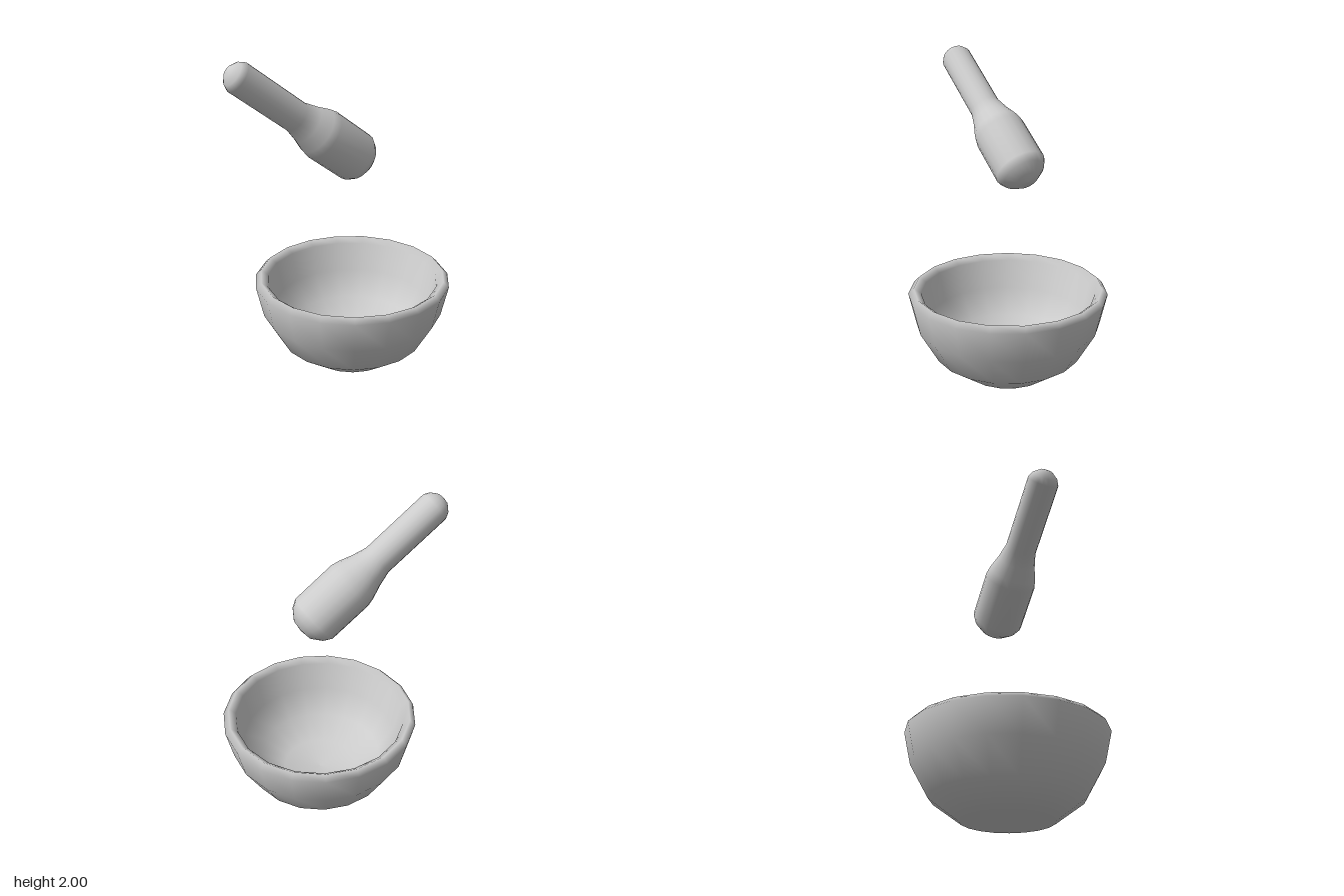
import * as THREE from 'three';

const material = new THREE.MeshStandardMaterial({ color: 0xcccccc });

// Smooth turned part from [radius, height] pairs, outside listed upwards
function turned(name, profile, sides, phiStart = 0) {
  const points = profile.map(([r, y]) => new THREE.Vector2(r, y));
  const mesh = new THREE.Mesh(new THREE.LatheGeometry(points, sides, phiStart), material);
  mesh.name = name;
  return mesh;
}

export function createModel() {
  const group = new THREE.Group();
  group.name = 'mortarAndPestle';

  // Bowl: outer wall, rounded rim, then the hollow inside
  const bowl = turned('mortarBowl', [
    [0, 0], [0.285, 0.012], [0.467, 0.145], [0.58, 0.345], [0.625, 0.545],
    [0.59, 0.58], [0.545, 0.545],
    [0.5, 0.36], [0.4, 0.2], [0.24, 0.095], [0, 0.08],
  ], 19, Math.PI);
  bowl.position.set(0.078, 0, 0);
  group.add(bowl);

  // Pestle: rounded handle end, grip, flare, grinding head
  const pestle = turned('pestle', [
    [0, -0.066], [0.038, -0.06], [0.078, -0.03], [0.096, 0.005],
    [0.096, 0.45], [0.12, 0.54], [0.149, 0.62], [0.16, 0.67],
    [0.16, 0.955], [0.133, 1.002], [0.075, 1.047], [0, 1.06],
  ], 20);
  pestle.position.set(-0.63, 1.92, -0.056);
  pestle.rotation.z = -2.223;
  group.add(pestle);

  return group;
}
